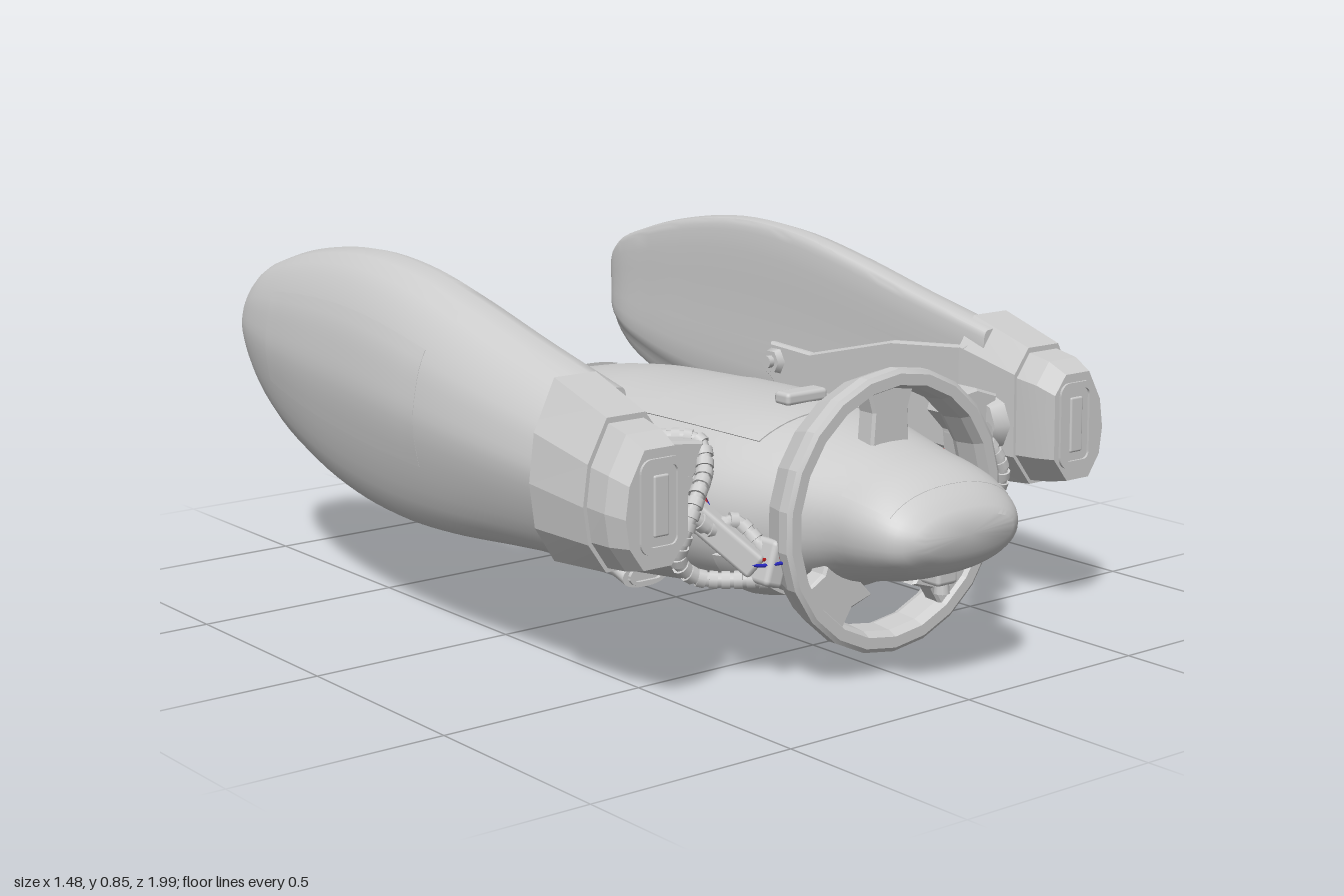
import * as THREE from 'three';
import { toCreasedNormals } from 'three/addons/utils/BufferGeometryUtils.js';
import { RoundedBoxGeometry } from 'three/addons/geometries/RoundedBoxGeometry.js';

const grey = new THREE.MeshStandardMaterial({ color: 0xcccccc });
const red = new THREE.MeshStandardMaterial({ color: 0xaa1111 });
const blue = new THREE.MeshStandardMaterial({ color: 0x2222bb });
const V = (x, y, z) => new THREE.Vector3(x, y, z);
const range = (a, b, n) => Array.from({ length: n + 1 }, (_, i) => a + (b - a) * i / n);

// Surface through cross-sections [z, xMin, xMax, yMin, yMax]; outline(u) runs counter-clockwise in a unit square
function surface(sections, outline, Interp = THREE.CubicInterpolant) {
  const it = new Interp(sections.map(s => s[0]), sections.flatMap(s => s.slice(1)), 4, new Float32Array(4));
  return (u, z, k = 1) => {
    const [x0, x1, y0, y1] = it.evaluate(z);
    const [s, t] = outline(u);
    return V(x0 + (x1 - x0) * (0.5 + (s - 0.5) * k), y0 + (y1 - y0) * (0.5 + (t - 0.5) * k), z);
  };
}

function mesh3(points, index) {
  const g = new THREE.BufferGeometry().setFromPoints(points);
  g.setIndex(index);
  return g;
}

// Closed skin of a surface, capped at both ends
function loft(f, zs, n, crease = 0.7) {
  const pts = [], idx = [], rows = zs.length;
  for (const z of zs) for (let j = 0; j < n; j++) pts.push(f(j / n, z));
  for (let i = 0; i < rows - 1; i++) for (let j = 0; j < n; j++) {
    const a = i * n + j, b = i * n + (j + 1) % n;
    idx.push(a, b, b + n, a, b + n, a + n);
  }
  const c = pts.push(f(0, zs[0], 0), f(0, zs[rows - 1], 0)) - 2, last = (rows - 1) * n;
  for (let j = 0; j < n; j++) {
    const k = (j + 1) % n;
    idx.push(c, k, j, c + 1, last + j, last + k);
  }
  return toCreasedNormals(mesh3(pts, idx), crease);
}

// Raised panel that follows a surface
function panel(f, u0, u1, z0, z1, lift = 0.012, n = 12) {
  const pts = [], idx = [], at = i => Math.min(Math.max(i - 1, 0), n) / n;
  for (let i = 0; i <= n + 2; i++) for (let j = 0; j <= n + 2; j++) {
    const edge = i === 0 || j === 0 || i === n + 2 || j === n + 2;
    pts.push(f(u0 + (u1 - u0) * at(j), z0 + (z1 - z0) * at(i), edge ? 0.98 : 1 + lift));
  }
  const w = n + 3;
  for (let i = 0; i < w - 1; i++) for (let j = 0; j < w - 1; j++) {
    const a = i * w + j;
    idx.push(a, a + 1, a + w + 1, a, a + w + 1, a + w);
  }
  return toCreasedNormals(mesh3(pts, idx), 0.6);
}

// Copy reflected in x, with the corner order restored
function mirrored(geo) {
  const g = geo.index ? geo.toNonIndexed() : geo.clone();
  g.scale(-1, 1, 1);
  for (const a of Object.values(g.attributes)) for (let i = 0; i < a.count; i += 3) for (let k = 0; k < a.itemSize; k++) {
    const t = a.getComponent(i + 1, k);
    a.setComponent(i + 1, k, a.getComponent(i + 2, k));
    a.setComponent(i + 2, k, t);
  }
  return g;
}

const power = (v, e) => Math.sign(v) * Math.abs(v) ** e;
const hullOutline = u => {
  const a = u * Math.PI * 2, e = Math.sin(a) < 0 ? 0.85 : 0.93;
  return [0.5 + power(Math.cos(a), e) / 2, 0.5 + power(Math.sin(a), e) / 2];
};
const podCurve = new THREE.CatmullRomCurve3([[0.5, 0], [0.72, 0.08], [0.9, 0.27], [1, 0.5], [0.96, 0.64], [0.87, 0.77],
  [0.56, 0.95], [0.05, 1], [0, 0.95], [0, 0.6], [0, 0.25], [0.12, 0.15], [0.25, 0.03]].map(p => V(p[0], p[1], 0)), true);
const podOutline = u => podCurve.getPoint(u).toArray();
const facets = [[0.27, 0], [0.72, 0], [0.94, 0.2], [1, 0.45], [0.94, 0.72], [0.7, 1], [0.22, 1], [0, 0.82], [0, 0.22]];
const facetOutline = u => facets[Math.round(u * facets.length) % facets.length];

function roundRect(Type, w, h, r) {
  const s = new Type(), q = [[1, -1], [1, 1], [-1, 1], [-1, -1]];
  q.forEach(([x, y], i) => s.absarc(x * (w / 2 - r), y * (h / 2 - r), r, (i - 1) * Math.PI / 2, i * Math.PI / 2, false));
  return s;
}
function frame(w, h, t, depth) {
  const s = roundRect(THREE.Shape, w, h, w * 0.25);
  s.holes.push(roundRect(THREE.Path, w - t * 2, h - t * 2, w * 0.15));
  return new THREE.ExtrudeGeometry(s, { depth, bevelEnabled: false, curveSegments: 4 });
}
const slab = (pts, depth) => new THREE.ExtrudeGeometry(new THREE.Shape(pts.map(p => new THREE.Vector2(...p))),
  { depth, bevelSize: 0.006, bevelThickness: 0.006, bevelSegments: 1 });

export function createModel() {
  const root = new THREE.Group();
  const add = (name, geo, mat = grey) => {
    const m = new THREE.Mesh(geo, mat);
    m.name = name;
    root.add(m);
  };
  const both = (name, geo, mat) => {
    add(name + 'Left', geo, mat);
    add(name + 'Right', mirrored(geo), mat);
  };

  // Central hull: [z, half width, bottom, top]
  const hull = surface([[-0.705, 0.03, 0.32, 0.36], [-0.67, 0.085, 0.28, 0.39], [-0.6, 0.14, 0.24, 0.43], [-0.5, 0.19, 0.2, 0.47], [-0.3, 0.25, 0.125, 0.525],
    [-0.12, 0.31, 0.06, 0.55], [0, 0.32, 0.075, 0.555], [0.2, 0.325, 0.1, 0.56], [0.45, 0.322, 0.13, 0.558], [0.6, 0.28, 0.15, 0.545],
    [0.68, 0.25, 0.185, 0.53], [0.78, 0.22, 0.22, 0.51], [0.9, 0.205, 0.25, 0.475], [0.965, 0.17, 0.285, 0.43], [0.99, 0.13, 0.32, 0.4]]
    .map(([z, w, b, t]) => [z, -w, w, b, t]), hullOutline);
  add('hull', loft(hull, [...range(-0.705, -0.66, 4), ...range(-0.63, 0.9, 42), ...range(0.915, 0.99, 6)], 48));
  add('canopyHatch', panel(hull, 0.14, 0.36, 0.15, 0.54));
  add('rearHatch', panel(hull, 0.2, 0.3, -0.51, -0.34, 0.04));
  add('noseVisor', panel(hull, 0.08, 0.42, 0.8, 0.93, 0.008));
  both('frontVent', panel(hull, 0.84, 0.95, 0.51, 0.6, 0.03));
  both('rearVent', panel(hull, 0.848, 0.922, -0.16, -0.08, 0.04));
  both('sideVent', panel(hull, 0.902, 0.96, -0.35, -0.19, 0.015));
  add('hatchHandle', new RoundedBoxGeometry(0.12, 0.03, 0.05, 2, 0.01).translate(0, 0.57, 0.45));
  add('noseSensor', new RoundedBoxGeometry(0.06, 0.04, 0.06, 2, 0.01).translate(0, 0.255, 0.9));
  add('noseSensorTip', new THREE.CylinderGeometry(0.014, 0.018, 0.04, 10).translate(0, 0.235, 0.91));

  // Belly skid with an open front
  const skid = surface([[-0.53, 0.02, 0.185, 0.205], [-0.45, 0.06, 0.105, 0.18], [-0.3, 0.07, 0.045, 0.135], [-0.12, 0.07, 0, 0.06]]
    .map(([z, w, b, t]) => [z, -w, w, b, t]), hullOutline);
  add('bellySkid', loft(skid, range(-0.53, -0.12, 14), 24));
  add('skidIntake', frame(0.11, 0.045, 0.01, 0.012).translate(0, 0.03, -0.122));

  // Hoop around the nose, wider at the front, with three struts
  const hoop = [[0.27, -0.045], [0.295, -0.045], [0.315, 0.01], [0.315, 0.035], [0.305, 0.042], [0.28, 0.042], [0.27, 0.02], [0.265, -0.03], [0.27, -0.045]];
  add('noseHoop', toCreasedNormals(new THREE.LatheGeometry(hoop.map(p => new THREE.Vector2(...p)), 22), 0.2)
    .rotateX(Math.PI / 2).translate(0, 0.365, 0.73));
  add('hoopStrutTop', slab([[-0.05, 0.15], [0.05, 0.15], [0.045, 0.22], [0.065, 0.28], [-0.065, 0.28], [-0.045, 0.22]], 0.04).translate(0, 0.365, 0.7));
  both('hoopStrutLower', slab([[-0.08, 0.17], [0.08, 0.17], [0.055, 0.22], [0.07, 0.28], [-0.07, 0.28], [-0.055, 0.22]], 0.035)
    .rotateZ(-2.33).translate(0, 0.365, 0.72));

  // Side pods: [z, inner x, outer x, bottom, top]
  const pod = surface([[-0.998, 0.57, 0.6, 0.57, 0.63], [-0.98, 0.552, 0.615, 0.52, 0.68], [-0.93, 0.535, 0.637, 0.46, 0.735], [-0.8, 0.53, 0.67, 0.382, 0.787], [-0.6, 0.53, 0.7, 0.312, 0.83],
    [-0.4, 0.53, 0.718, 0.27, 0.847], [-0.2, 0.53, 0.732, 0.255, 0.832], [0, 0.53, 0.74, 0.262, 0.79], [0.25, 0.53, 0.737, 0.285, 0.725],
    [0.5, 0.53, 0.725, 0.305, 0.665]], podOutline);
  const cowl = surface([[0.435, 0.512, 0.735, 0.298, 0.692], [0.61, 0.52, 0.725, 0.31, 0.635]], facetOutline, THREE.LinearInterpolant);
  const lip = surface([[0.6, 0.527, 0.716, 0.318, 0.625], [0.67, 0.53, 0.716, 0.325, 0.61], [0.72, 0.54, 0.7, 0.335, 0.585]], facetOutline, THREE.LinearInterpolant);
  const podParts = {
    pod: loft(pod, [...range(-0.998, -0.9, 8), ...range(-0.87, 0.5, 30)], 39),
    podOuterPanel: panel(pod, 0.17, 0.4, -0.75, 0, 0.006),
    podInnerPlate: slab([[-0.45, 0.37], [0.2, 0.42], [0.27, 0.47], [0.25, 0.54], [0.1, 0.53], [-0.2, 0.6], [-0.45, 0.62]], 0.01)
      .rotateY(Math.PI / 2).translate(0.519, 0, 0),
    podKnob: new THREE.CylinderGeometry(0.03, 0.04, 0.03, 6).rotateZ(Math.PI / 2).translate(0.51, 0.5, -0.23),
    podKnobTip: new THREE.CylinderGeometry(0.016, 0.016, 0.05, 10).rotateZ(Math.PI / 2).translate(0.505, 0.5, -0.23),
    podCowl: loft(cowl, [0.435, 0.61], facets.length, 0.2),
    podLip: loft(lip, [0.6, 0.67, 0.72], facets.length, 0.2),
    podIntake: frame(0.11, 0.2, 0.016, 0.012).translate(0.61, 0.465, 0.714),
    podIntakeCore: new RoundedBoxGeometry(0.04, 0.13, 0.012, 2, 0.005).translate(0.61, 0.465, 0.718),
  };
  for (const [name, geo] of Object.entries(podParts)) {
    add(name + 'Right', mirrored(geo));
    // the left pod droops slightly at the rear
    add(name + 'Left', geo.translate(0, 0, -0.6).rotateX(-0.018).translate(0, 0, 0.605));
  }

  // Arms running forward from the pods to the hoop
  const bar = (a, b, w, h) => new RoundedBoxGeometry(w, h, a.distanceTo(b), 1, 0.01)
    .applyMatrix4(new THREE.Matrix4().lookAt(b, a, V(0, 1, 0)).setPosition(a.clone().lerp(b, 0.5)));
  both('armBracket', slab([[0.42, 0.38], [0.51, 0.39], [0.51, 0.52], [0.45, 0.54], [0.37, 0.53], [0.36, 0.5], [0.41, 0.45]], 0.06).translate(0, 0, 0.49));
  both('armHub', new THREE.CylinderGeometry(0.06, 0.075, 0.05, 8).rotateZ(Math.PI / 2).translate(0.505, 0.455, 0.525));
  both('armJoint', new THREE.CylinderGeometry(0.035, 0.035, 0.09, 12).rotateX(Math.PI / 2).translate(0.44, 0.44, 0.54));
  both('armStrut', bar(V(0.44, 0.43, 0.54), V(0.325, 0.28, 0.69), 0.05, 0.06));
  both('armFoot', new RoundedBoxGeometry(0.05, 0.1, 0.07, 2, 0.012).rotateZ(0.3).translate(0.305, 0.29, 0.7));

  // Ribbed hoses
  const hoses = [
    [V(0.52, 0.48, 0.42), V(0.44, 0.53, 0.46), V(0.36, 0.53, 0.53), V(0.375, 0.48, 0.57), V(0.43, 0.43, 0.61), V(0.47, 0.36, 0.62), V(0.47, 0.3, 0.6), V(0.42, 0.255, 0.6), V(0.31, 0.25, 0.69)],
    [V(0.51, 0.42, 0.5), V(0.45, 0.4, 0.6), V(0.39, 0.36, 0.62), V(0.34, 0.37, 0.63), V(0.31, 0.32, 0.68)]];
  hoses.forEach((pts, h) => {
    const c = new THREE.CatmullRomCurve3(pts);
    both('hose' + (h + 1), new THREE.TubeGeometry(c, 36, 0.016, 8));
    const count = Math.round(c.getLength() / 0.027);
    for (let i = 0; i <= count; i++) {
      const q = new THREE.Quaternion().setFromUnitVectors(V(0, 0, 1), c.getTangentAt(i / count));
      both('hoseRib', new THREE.CylinderGeometry(0.02, 0.02, 0.018, 10).rotateX(Math.PI / 2)
        .applyQuaternion(q).translate(...c.getPointAt(i / count).toArray()));
    }
  });

  // Thin cables
  [red, blue].forEach((mat, i) => {
    const d = i * 0.01, pts = [V(0.52, 0.375, 0.43), V(0.42, 0.38, 0.425), V(0.345, 0.425, 0.44), V(0.335, 0.41, 0.51), V(0.36, 0.32, 0.6), V(0.345, 0.3, 0.69), V(0.29, 0.31, 0.745)];
    both(i ? 'blueCable' : 'redCable', new THREE.TubeGeometry(new THREE.CatmullRomCurve3(pts.map(p => V(p.x, p.y - d, p.z + d))), 40, 0.004, 6), mat);
  });
  return root;
}
